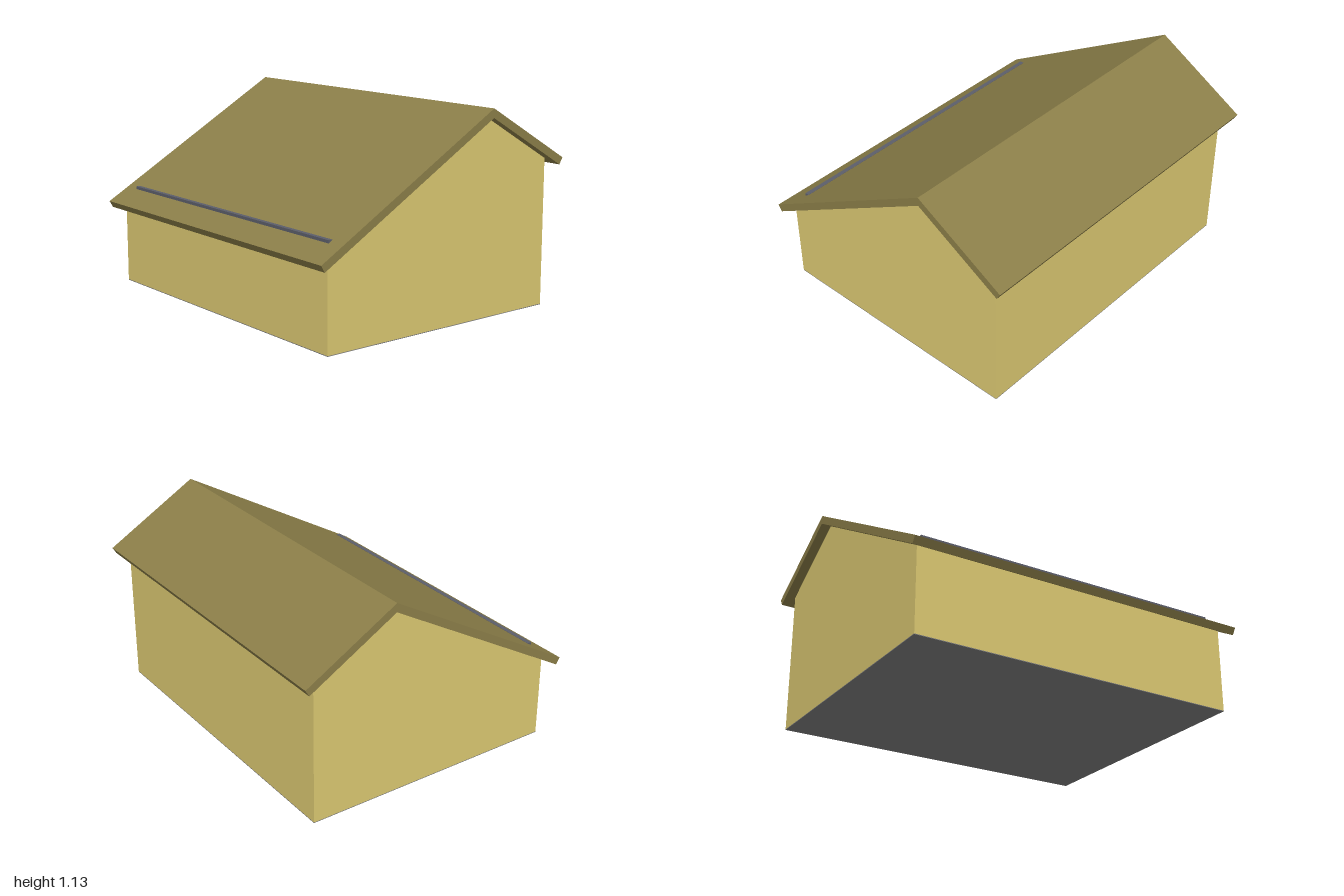
import * as THREE from 'three';

const RIDGE_X = 0.3;
const SLOPE = Math.tan(Math.PI / 6);

// Extrudes a profile in the xy plane, centred on z = 0
function prism(name, points, depth, material) {
  const shape = new THREE.Shape(points.map(([x, y]) => new THREE.Vector2(x, y)));
  const geometry = new THREE.ExtrudeGeometry(shape, { depth, bevelEnabled: false });
  geometry.translate(0, 0, -depth / 2);
  const mesh = new THREE.Mesh(geometry, material);
  mesh.name = name;
  return mesh;
}

function box(name, size, position, material) {
  const mesh = new THREE.Mesh(new THREE.BoxGeometry(...size), material);
  mesh.name = name;
  mesh.position.set(...position);
  return mesh;
}

export function createModel() {
  const paint = (color) => new THREE.MeshStandardMaterial({ color, flatShading: true });
  const wallPaint = paint(0xdcc972);
  const roofPaint = paint(0x8c7f49);
  const gutterPaint = paint(0x5c5e6a);
  const floorPaint = paint(0x808080);

  // Height of the roof's upper or lower face at a given x
  const top = (x) => 1.133 - SLOPE * Math.abs(x - RIDGE_X);
  const under = (x) => 1.083 - SLOPE * Math.abs(x - RIDGE_X);

  const group = new THREE.Group();
  group.name = 'house';

  // Walls with uneven gables, reaching up to the roof's underside
  const w = 0.753;
  group.add(prism('walls', [
    [-w, 0.004], [w, 0.004], [w, under(w)], [RIDGE_X, under(RIDGE_X)], [-w, under(-w)],
  ], 1.89, wallPaint));

  // Thin floor slab
  group.add(box('floor', [2 * w, 0.004, 1.89], [0, 0.002, 0], floorPaint));

  // Roof slab with square-cut eaves
  group.add(prism('roof', [
    [-0.835, top(-0.835)], [-0.813, under(-0.813)], [RIDGE_X, under(RIDGE_X)],
    [0.813, under(0.813)], [0.835, top(0.835)], [RIDGE_X, top(RIDGE_X)],
  ], 2, roofPaint));

  // Snow guard bar along the long slope
  group.add(box('snowGuard', [0.025, 0.025, 1.8], [-0.698, 0.553, 0], gutterPaint));

  return group;
}
